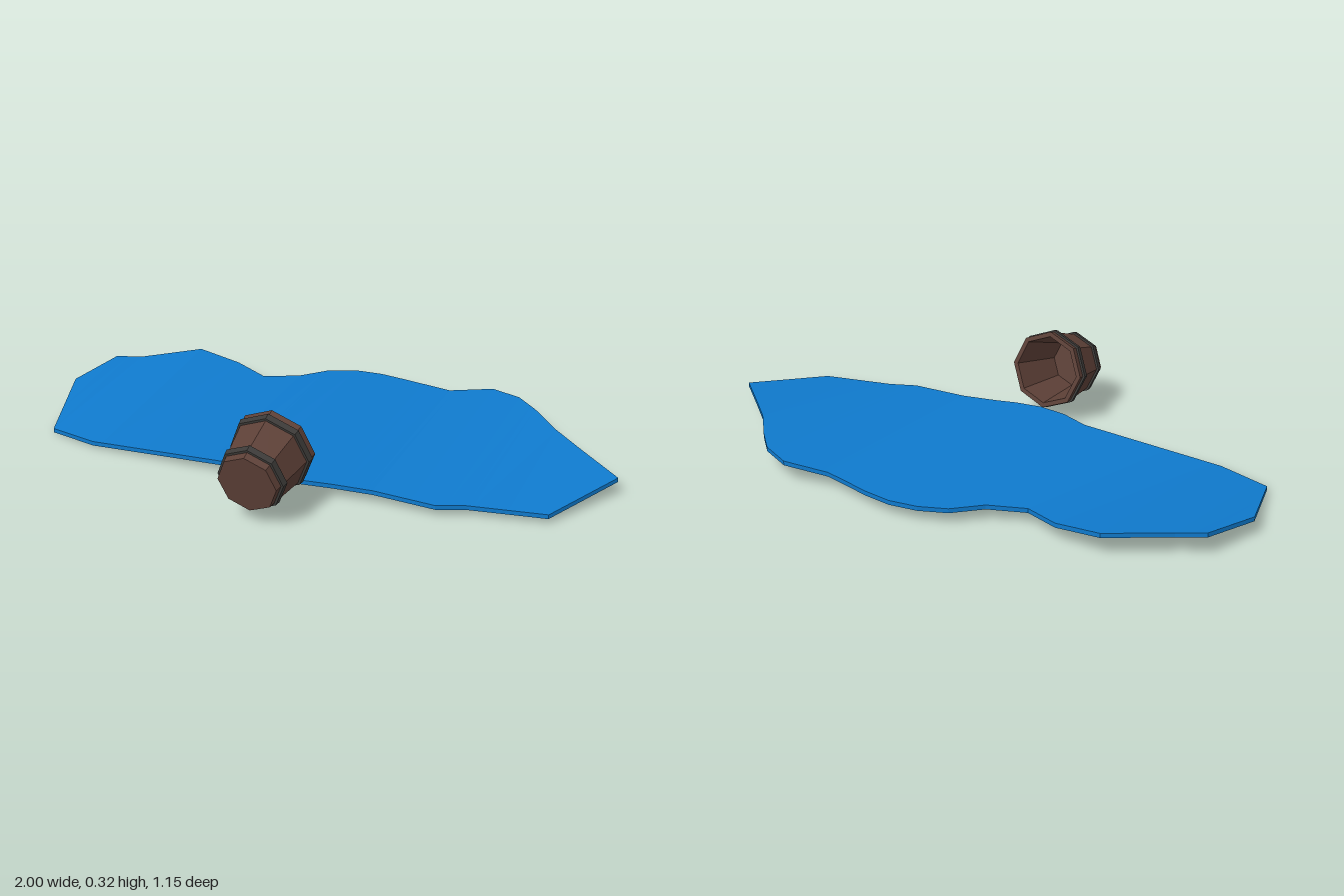
import * as THREE from 'three';

const mat = (color) => new THREE.MeshStandardMaterial({ color, flatShading: true });

// Puddle edges from the right tip to the left tip: [x, z, top height]
const FRONT = [
  [-1, -0.07, 0.06], [-0.905, 0.235, 0.015], [-0.72, 0.28, 0.022], [-0.2, 0.275, 0.047],
  [-0.1, 0.305, 0.053], [0, 0.315, 0.054], [0.1, 0.3, 0.053], [0.17, 0.285, 0.05],
  [0.3, 0.265, 0.045], [0.51, 0.265, 0.038], [0.6, 0.225, 0.037], [0.85, 0.17, 0.032], [1, -0.1, 0.062],
];
const BACK = [
  [-1, -0.07, 0.06], [-0.945, -0.275, 0.078], [-0.86, -0.32, 0.073], [-0.685, -0.457, 0.08],
  [-0.52, -0.44, 0.06], [-0.39, -0.385, 0.05], [-0.27, -0.44, 0.052], [-0.19, -0.525, 0.052],
  [-0.1, -0.565, 0.052], [0, -0.577, 0.05], [0.1, -0.565, 0.05], [0.2, -0.545, 0.053],
  [0.28, -0.53, 0.055], [0.43, -0.57, 0.072], [0.54, -0.525, 0.078], [0.62, -0.45, 0.08],
  [0.73, -0.33, 0.076], [0.84, -0.235, 0.07], [1, -0.1, 0.062],
];

// Point on an edge at a given x
function edgeAt(edge, x) {
  const i = Math.max(1, edge.findIndex((p) => p[0] >= x));
  const [a, b] = [edge[i - 1], edge[i]];
  const t = (x - a[0]) / (b[0] - a[0]);
  return { z: a[1] + (b[1] - a[1]) * t, y: a[2] + (b[2] - a[2]) * t };
}

// Thin warped slab lofted through four-cornered cross-sections along x
function puddleGeometry(thickness) {
  const xs = [...new Set([...FRONT, ...BACK].map((p) => p[0]))].sort((a, b) => a - b);
  const positions = [], index = [];
  xs.forEach((x, i) => {
    const f = edgeAt(FRONT, x), b = edgeAt(BACK, x);
    positions.push(x, f.y, f.z, x, b.y, b.z, x, b.y - thickness, b.z, x, f.y - thickness, f.z);
    if (i === xs.length - 1) return;
    for (let k = 0; k < 4; k++) {
      const a = i * 4 + k, d = i * 4 + ((k + 1) % 4);
      index.push(a, a + 4, d + 4, a, d + 4, d);
    }
  });
  const geometry = new THREE.BufferGeometry();
  geometry.setAttribute('position', new THREE.Float32BufferAttribute(positions, 3));
  geometry.setIndex(index);
  geometry.computeVertexNormals();
  return geometry;
}

// Eight-sided turned part from [radius, height] pairs
function turned(name, profile, material) {
  const points = profile.map(([r, y]) => new THREE.Vector2(r, y));
  const mesh = new THREE.Mesh(new THREE.LatheGeometry(points, 8), material);
  mesh.name = name;
  return mesh;
}

export function createModel() {
  const model = new THREE.Group();
  model.name = 'spilledBucket';

  const puddle = new THREE.Mesh(puddleGeometry(0.015), mat(0x0f7acd));
  puddle.name = 'waterPuddle';
  model.add(puddle);

  // Bucket lying on its side, mouth towards the water
  const bucket = new THREE.Group();
  bucket.name = 'bucket';
  const height = 0.213, baseR = 0.1, rimR = 0.137;
  const wallR = (y) => baseR + (rimR - baseR) * (y / height);
  bucket.add(turned('bucketBody', [
    [0, 0], [baseR, 0], [rimR, height], [rimR - 0.017, height], [baseR - 0.015, 0.02], [0, 0.02],
  ], mat(0x5d4037)));

  // Metal hoops
  const hoopMaterial = mat(0x3c3a38);
  for (const [name, y] of [['lowerHoop', 0.036], ['upperHoop', 0.176]]) {
    const y0 = y - 0.011, y1 = y + 0.011, out = 0.008;
    bucket.add(turned(name, [
      [wallR(y0) - 0.003, y0], [wallR(y0) + out, y0], [wallR(y1) + out, y1], [wallR(y1) - 0.003, y1],
    ], hoopMaterial));
  }
  bucket.position.set(0, 0.147, 0.558);
  bucket.rotation.x = THREE.MathUtils.degToRad(-80.3);
  model.add(bucket);

  return model;
}
